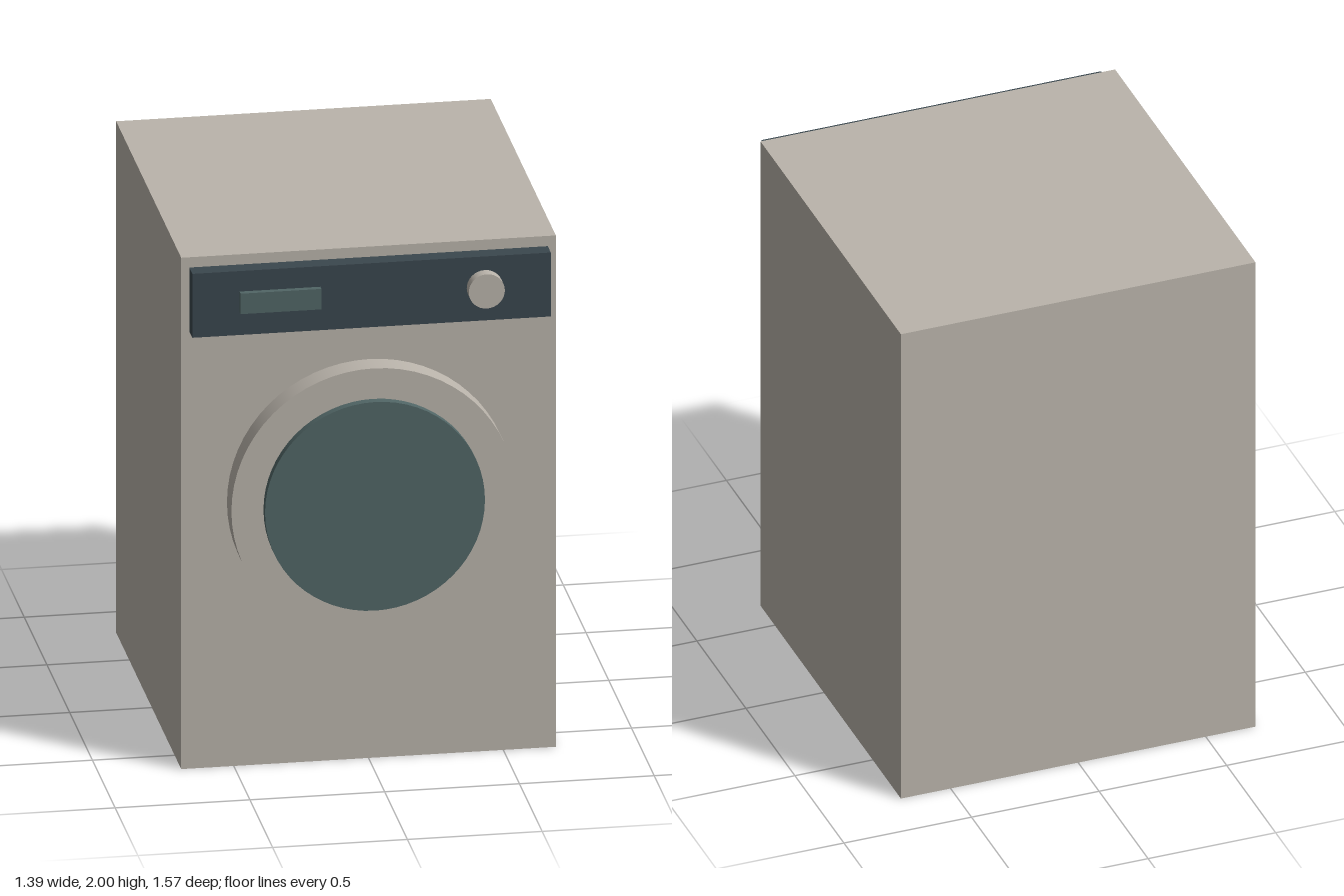
import * as THREE from 'three';

const mat = (name, color) => {
  const m = new THREE.MeshStandardMaterial({ color });
  m.name = name;
  return m;
};

export function createModel() {
  const enamel = mat('warm grey enamel', 0xbab4ab);
  const slate = mat('dark slate', 0x3a474e);
  const glass = mat('teal glass', 0x516666);

  const group = new THREE.Group();
  group.name = 'washingMachine';

  const add = (name, geometry, material, x, y, z) => {
    const mesh = new THREE.Mesh(geometry, material);
    mesh.name = name;
    mesh.position.set(x, y, z);
    group.add(mesh);
  };
  // Box centred on x and y, spanning z0 to z1
  const box = (name, material, x, y, w, h, z0, z1) =>
    add(name, new THREE.BoxGeometry(w, h, z1 - z0), material, x, y, (z0 + z1) / 2);
  // Disc facing the front, spanning z0 to z1
  const disc = (name, material, x, y, r, z0, z1, sides) =>
    add(name, new THREE.CylinderGeometry(r, r, z1 - z0, sides).rotateX(Math.PI / 2),
      material, x, y, (z0 + z1) / 2);

  // Cabinet
  box('cabinet', enamel, 0, 1, 1.39, 2, -0.787, 0.645);

  // Control panel with display and dial
  box('controlPanel', slate, 0, 1.835, 1.33, 0.25, 0.645, 0.712);
  box('display', glass, -0.34, 1.84, 0.3, 0.08, 0.71, 0.735);
  disc('dial', enamel, 0.42, 1.84, 0.067, 0.71, 0.757, 32);

  // Round door and its window
  disc('doorRim', enamel, 0, 1.037, 0.527, 0.655, 0.753, 64);
  disc('doorWindow', glass, 0, 1.037, 0.408, 0.74, 0.787, 64);

  return group;
}
